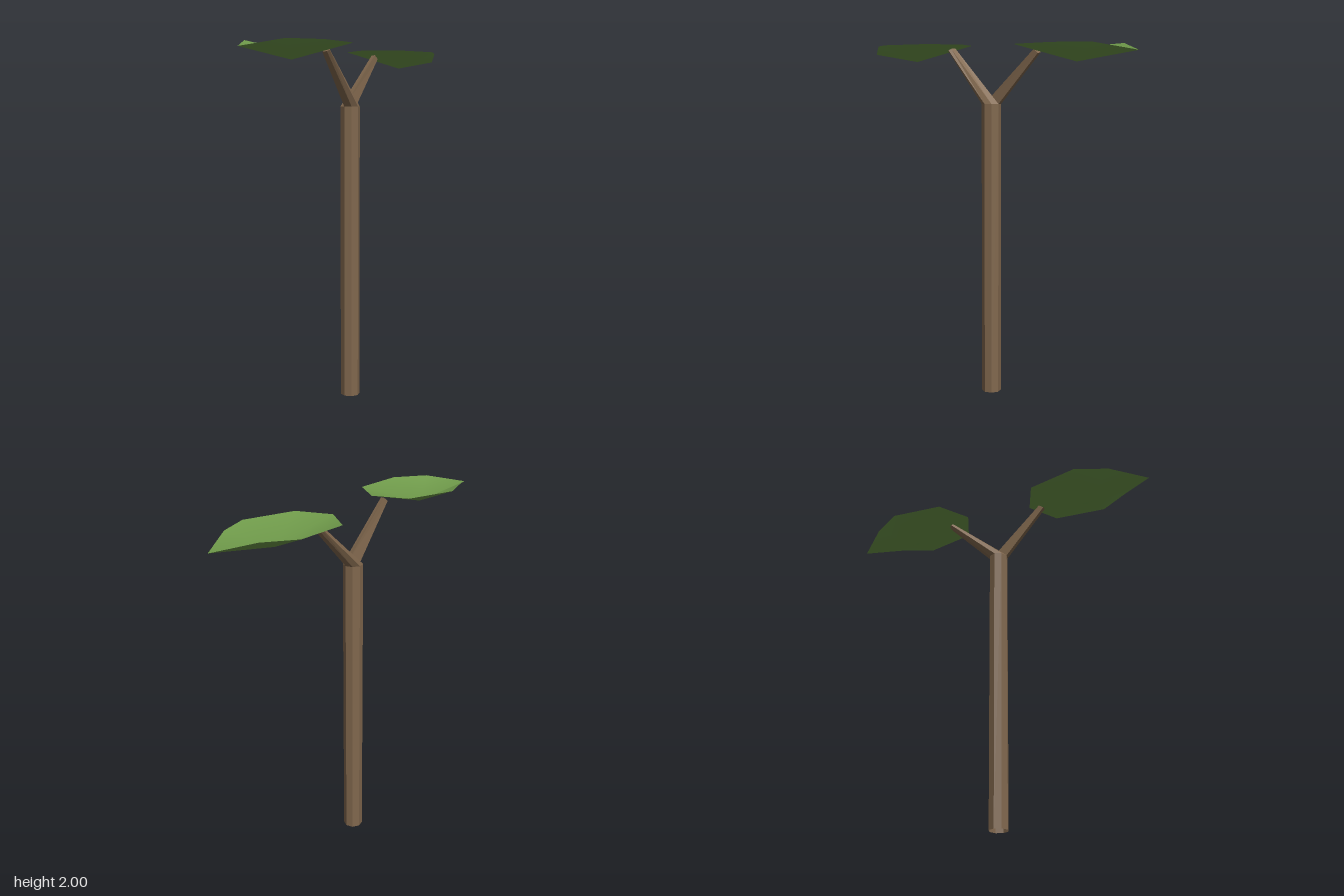
import * as THREE from 'three';

const TRUNK_R = 0.055, TRUNK_H = 1.67;
const bark = new THREE.MeshStandardMaterial({ color: 0x80674d, flatShading: true, side: THREE.DoubleSide });
const green = new THREE.MeshStandardMaterial({ color: 0x6f9a4a, side: THREE.DoubleSide });

function buildMesh(name, points, index, material) {
  const geo = new THREE.BufferGeometry();
  geo.setAttribute('position', new THREE.Float32BufferAttribute(points.flat(), 3));
  geo.setIndex(index);
  geo.computeVertexNormals();
  const mesh = new THREE.Mesh(geo, material);
  mesh.name = name;
  return mesh;
}

// Half of the octagonal trunk, drawn out and tapered towards its tip
function createBranch(tipY, tipZ) {
  const base = [], tip = [], index = [];
  for (let i = 0; i <= 4; i++) {
    const a = (i * Math.PI) / 4;
    const x = TRUNK_R * Math.sin(a), z = -TRUNK_R * Math.cos(a);
    base.push([x, TRUNK_H, z]);
    tip.push([0.032 + 0.7 * x, tipY - 0.2 * z, tipZ + 0.27 * z]);
  }
  for (let i = 0; i < 5; i++) {
    const j = (i + 1) % 5;
    index.push(i, 5 + i, j, j, 5 + i, 5 + j);
    if (i > 0 && i < 4) index.push(5, 5 + i + 1, 5 + i);
  }
  return buildMesh('branch', [...base, ...tip], index, bark);
}

// Thin cupped leaf: a rim of eight points around a lower middle point
function createLeaf(drop) {
  const cx = 0.053, rimY = 2 - drop;
  const right = [[0.135, 0.765], [0.229, 0.587], [0.183, 0.287]];
  const rim = [
    [cx, rimY - 0.042, 0.955],
    ...right.map(([x, z]) => [cx + x, rimY, z]),
    [cx, rimY, 0.187],
    ...right.slice().reverse().map(([x, z]) => [cx - x, rimY, z]),
  ];
  const index = [];
  for (let i = 0; i < 8; i++) index.push(0, 1 + i, 1 + ((i + 1) % 8));
  return buildMesh('leaf', [[cx, rimY - 0.092, 0.567], ...rim], index, green);
}

export function createModel() {
  const model = new THREE.Group();
  model.name = 'sapling';

  const trunk = new THREE.Mesh(
    new THREE.CylinderGeometry(TRUNK_R, TRUNK_R, TRUNK_H, 8, 1, true), bark);
  trunk.position.y = TRUNK_H / 2;
  trunk.name = 'trunk';
  model.add(trunk);

  // Front and back shoots, the back one turned half way round
  const shoots = [
    { name: 'frontShoot', turn: 0, tipY: 1.97, tipZ: 0.275, drop: 0 },
    { name: 'backShoot', turn: Math.PI, tipY: 1.955, tipZ: 0.3, drop: 0.012 },
  ];
  for (const s of shoots) {
    const shoot = new THREE.Group();
    shoot.name = s.name;
    shoot.add(createBranch(s.tipY, s.tipZ), createLeaf(s.drop));
    shoot.rotation.y = s.turn;
    model.add(shoot);
  }
  return model;
}
